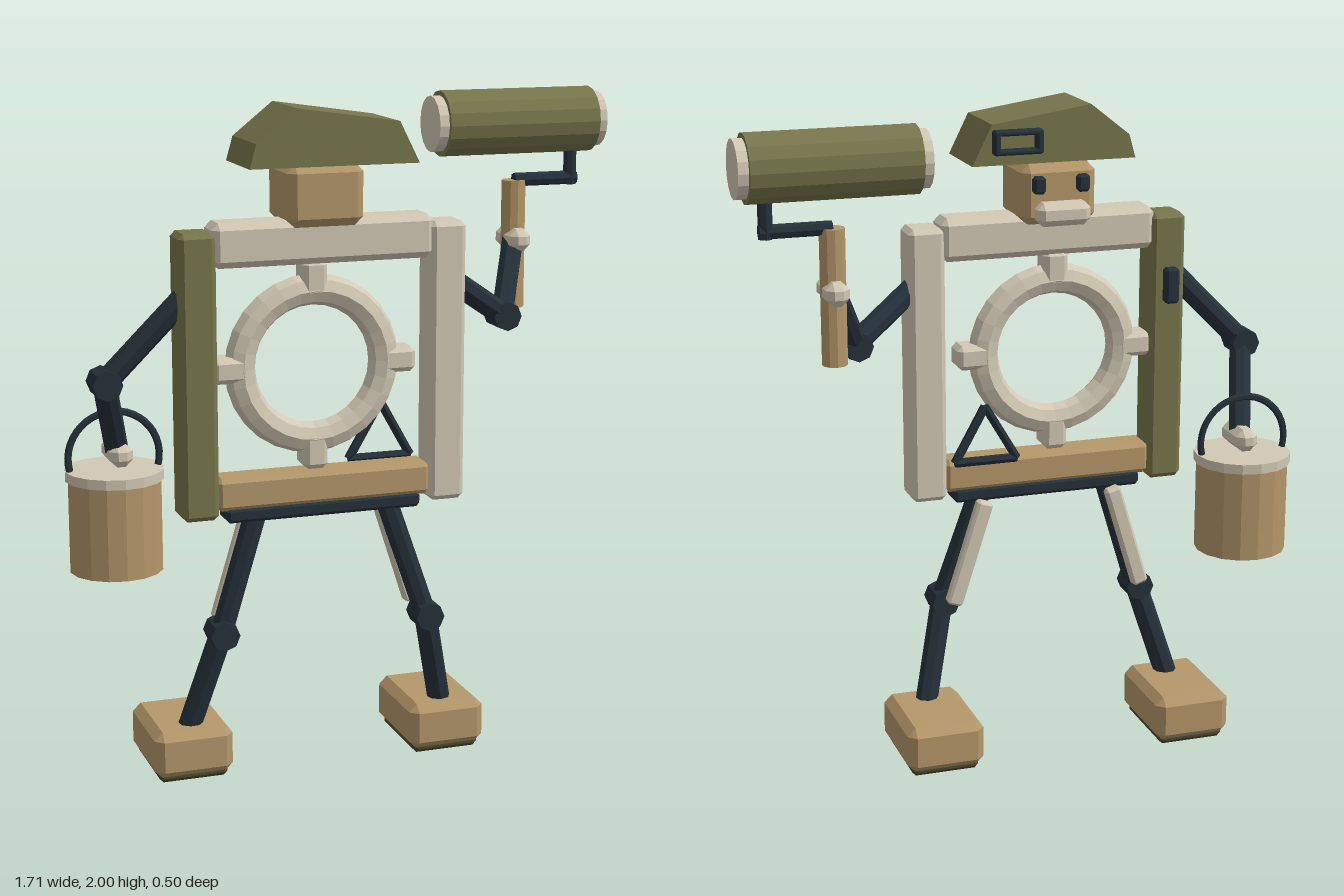
import * as THREE from 'three';
import { ConvexGeometry } from 'three/addons/geometries/ConvexGeometry.js';

const material = (color) => new THREE.MeshStandardMaterial({ color, flatShading: true });
const V = (x, y, z) => new THREE.Vector3(x, y, z);

export function createModel() {
  const model = new THREE.Group();
  model.name = 'paintingRobot';
  const cream = material(0xd2c8b4);
  const tan = material(0xb5976a);
  const olive = material(0x77764c);
  const darkOlive = material(0x4a4a30);
  const dark = material(0x25303a);

  const add = (name, geometry, mat, x = 0, y = 0, z = 0) => {
    const mesh = new THREE.Mesh(geometry, mat);
    mesh.name = name;
    mesh.position.set(x, y, z);
    model.add(mesh);
    return mesh;
  };

  // Box with chamfered edges and corners
  const block = (name, mat, [w, h, d], [x, y, z], c = 0.015) => {
    const points = [];
    for (const sx of [-1, 1]) for (const sy of [-1, 1]) for (const sz of [-1, 1]) {
      points.push(
        V(sx * w / 2, sy * (h / 2 - c), sz * (d / 2 - c)),
        V(sx * (w / 2 - c), sy * h / 2, sz * (d / 2 - c)),
        V(sx * (w / 2 - c), sy * (h / 2 - c), sz * d / 2));
    }
    return add(name, new ConvexGeometry(points), mat, x, y, z);
  };

  // Straight round bar between two points
  const bar = (name, mat, a, b, r, sides = 8) => {
    const dir = b.clone().sub(a);
    const mesh = add(name, new THREE.CylinderGeometry(r, r, dir.length(), sides), mat);
    mesh.position.copy(a).lerp(b, 0.5);
    mesh.quaternion.setFromUnitVectors(V(0, 1, 0), dir.normalize());
    return mesh;
  };

  // Hinge drum lying along z
  const hinge = (name, p) =>
    add(name, new THREE.CylinderGeometry(0.044, 0.044, 0.095, 8), dark, p.x, p.y, p.z)
      .rotation.set(Math.PI / 2, 0, 0);

  // Two-part limb with a hinge in the middle
  const limb = (name, [start, joint, end]) => {
    bar(name + 'Upper', dark, start, joint, 0.035);
    hinge(name + 'Hinge', joint);
    bar(name + 'Lower', dark, joint, end, 0.035);
  };

  // Body frame
  block('rightPost', olive, [0.11, 0.84, 0.115], [-0.515, 1.23, 0.112]);
  block('leftPost', cream, [0.11, 0.84, 0.115], [0.245, 1.23, 0.112]);
  block('topBeam', cream, [0.67, 0.13, 0.115], [-0.135, 1.61, 0.112], 0.02);
  block('bottomBeam', tan, [0.66, 0.1, 0.1], [-0.135, 0.88, 0.11]);
  block('hipBar', dark, [0.6, 0.045, 0.09], [-0.135, 0.815, 0.11], 0.01);
  block('postPatch', dark, [0.045, 0.11, 0.04], [-0.52, 1.43, 0.045], 0.008);

  // Chest ring and its four lugs
  add('chestRing', new THREE.TorusGeometry(0.22, 0.046, 8, 28), cream, -0.16, 1.245, 0.11);
  for (let i = 0; i < 4; i++) {
    const a = i * Math.PI / 2;
    block('ringLug', cream, [0.11, 0.075, 0.09],
      [-0.16 + 0.255 * Math.cos(a), 1.245 + 0.255 * Math.sin(a), 0.11]).rotation.z = a;
  }

  // Small triangle on the back of the lower beam
  const corners = [V(-0.025, 0.93, 0.045), V(0.075, 1.1, 0.045), V(0.17, 0.93, 0.045)];
  corners.forEach((p, i) => bar('triangleBar', dark, p, corners[(i + 1) % 3], 0.014, 6));

  // Head with eyes and mouth
  block('head', tan, [0.23, 0.18, 0.215], [-0.14, 1.745, 0.0925], 0.025);
  for (const s of [-1, 1]) {
    block('eye', dark, [0.038, 0.052, 0.03], [-0.14 + s * 0.068, 1.777, -0.022], 0.008);
  }
  block('mouth', cream, [0.165, 0.07, 0.065], [-0.137, 1.695, -0.045], 0.02);

  // Cap and its buckle
  const capShape = new THREE.Shape([
    [-0.385, 1.835], [0.12, 1.835], [0.06, 1.955], [-0.245, 2.0], [-0.365, 1.905],
  ].map(([x, y]) => new THREE.Vector2(x, y)));
  add('cap', new THREE.ExtrudeGeometry(capShape, { depth: 0.235, bevelEnabled: false }), olive, 0, 0, 0.013);
  for (const s of [-1, 1]) {
    block('buckleRail', dark, [0.15, 0.016, 0.035], [-0.008, 1.907 + s * 0.028, -0.02], 0.005);
    block('buckleSide', dark, [0.02, 0.07, 0.035], [-0.008 + s * 0.065, 1.907, -0.02], 0.005);
  }

  // Arms
  const leftHand = V(0.58, 1.54, -0.145);
  const rightHand = V(-0.7, 0.975, -0.095);
  limb('leftArm', [V(0.27, 1.47, 0.115), V(0.478, 1.335, 0.02), leftHand]);
  limb('rightArm', [V(-0.545, 1.46, 0.11), V(-0.775, 1.225, 0.09), rightHand]);
  block('leftHand', cream, [0.07, 0.07, 0.15], leftHand.toArray(), 0.022);
  block('rightHand', cream, [0.07, 0.07, 0.15], rightHand.toArray(), 0.022);

  // Paint roller
  bar('rollerGrip', tan, V(0.58, 1.325, -0.147), V(0.58, 1.72, -0.147), 0.037, 10);
  bar('rollerArm', dark, V(0.58, 1.72, -0.147), V(0.787, 1.72, -0.147), 0.021);
  bar('rollerStem', dark, V(0.768, 1.7, -0.147), V(0.768, 1.83, -0.147), 0.021);
  bar('rollerSleeve', olive, V(0.335, 1.9, -0.15), V(0.825, 1.9, -0.15), 0.1, 16);
  bar('rollerCaps', cream, V(0.305, 1.9, -0.15), V(0.855, 1.9, -0.15), 0.085, 16);

  // Bucket with lid and hoop handle
  add('bucket', new THREE.CylinderGeometry(0.14, 0.14, 0.285, 16), tan, -0.71, 0.758, -0.095);
  add('bucketLid', new THREE.CylinderGeometry(0.148, 0.148, 0.03, 16), cream, -0.71, 0.91, -0.095);
  add('bucketHandle', new THREE.TorusGeometry(0.138, 0.011, 6, 24, Math.PI * 1.16), dark, -0.71, 0.96, -0.095)
    .rotation.z = -Math.PI * 0.08;

  // Legs with thigh pads, feet and soles
  const legs = {
    left: [V(0.065, 0.83, 0.11), V(0.185, 0.455, 0.15), V(0.262, 0.13, 0.08)],
    right: [V(-0.33, 0.83, 0.11), V(-0.445, 0.45, 0.11), V(-0.54, 0.13, 0.055)],
  };
  const feet = { left: [0.26, 0.0025], right: [-0.538, -0.0175] };
  for (const side of ['left', 'right']) {
    const [hip, knee] = legs[side];
    limb(side + 'Leg', legs[side]);
    block(side + 'ThighPad', cream, [0.05, 0.34, 0.04],
      [(hip.x + knee.x) / 2, 0.635, 0.052], 0.008)
      .rotation.z = Math.atan2(knee.x - hip.x, hip.y - knee.y);
    const [x, z] = feet[side];
    block(side + 'Foot', tan, [0.24, 0.145, 0.32], [x, 0.0875, z], 0.025);
    block(side + 'Sole', darkOlive, [0.21, 0.04, 0.28], [x, 0.02, z], 0.012);
  }
  return model;
}
